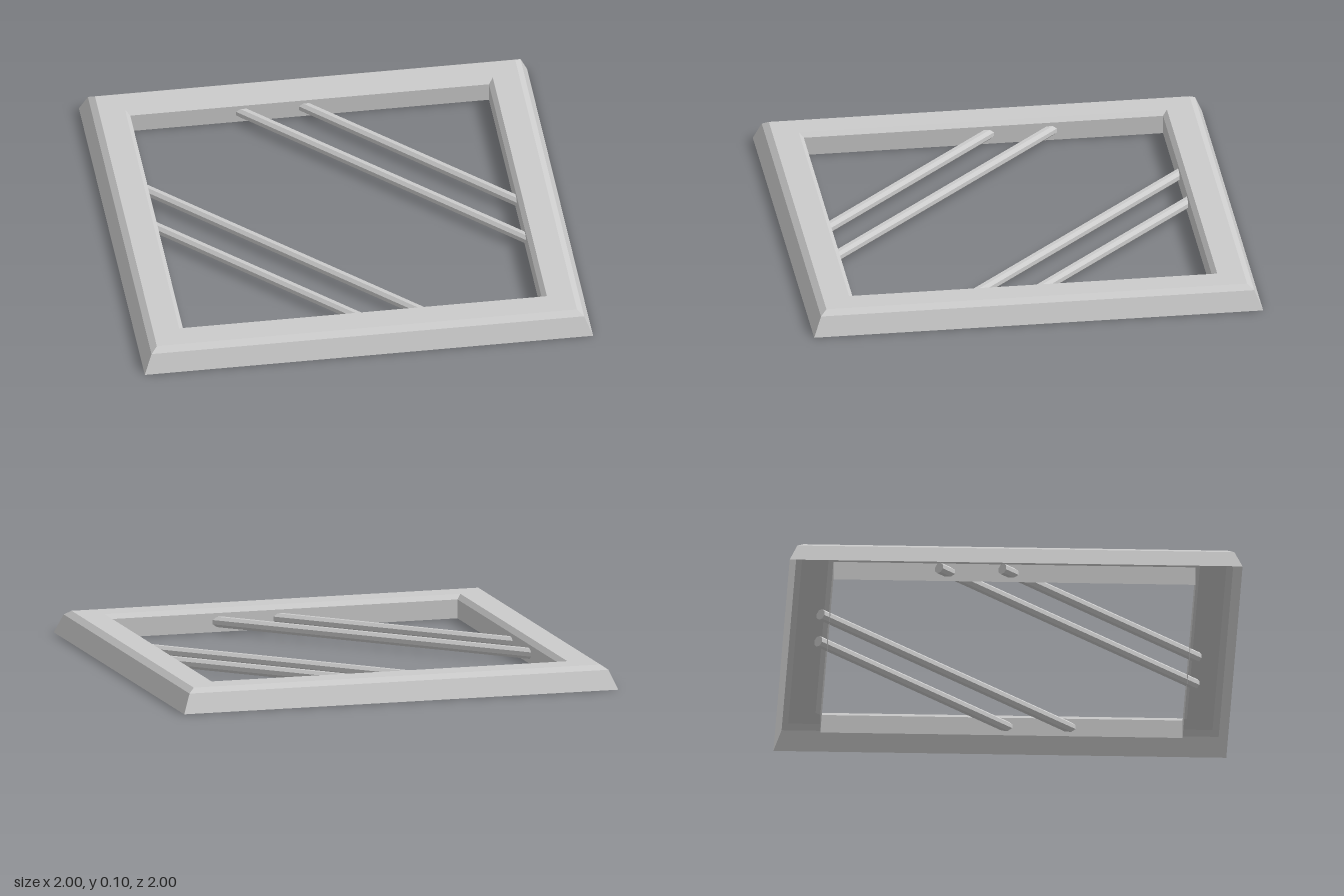
import * as THREE from 'three';

export function createModel() {
  const model = new THREE.Group();
  const material = new THREE.MeshStandardMaterial({
    color: 0xcccccc, flatShading: true, side: THREE.DoubleSide,
  });

  // Square frame: a thin moulding, open underneath, swept round four mitred corners.
  // Each point is [half width, height], from outer foot over the top to inner foot.
  const moulding = [
    [1, 0], [0.965, 0.085], [0.937, 0.105], [0.82, 0.105], [0.8, 0.085], [0.8, 0],
  ].map(([half, y]) => new THREE.Vector2(half * Math.SQRT2, y));
  const frameGeometry = new THREE.LatheGeometry(moulding, 4).rotateY(Math.PI / 4).toNonIndexed();
  frameGeometry.computeVertexNormals();
  const frame = new THREE.Mesh(frameGeometry, material);
  frame.name = 'frame';
  model.add(frame);

  // Diagonal bars along z = x + offset, their ends tucked inside the moulding
  const reach = 0.84, radius = 0.025, barHeight = 0.045;
  const bars = new THREE.Group();
  bars.name = 'diagonalBars';
  for (const side of [-1, 1]) {
    for (const offset of [0.505, 0.785]) {
      const length = (2 * reach - offset) * Math.SQRT2;
      const geometry = new THREE.CylinderGeometry(radius, radius, length, 8)
        .rotateY(Math.PI / 8)
        .rotateX(Math.PI / 2)
        .rotateY(Math.PI / 4);
      const bar = new THREE.Mesh(geometry, material);
      bar.name = 'diagonalBar';
      bar.position.set(-side * offset / 2, barHeight, side * offset / 2);
      bars.add(bar);
    }
  }
  model.add(bars);

  return model;
}
